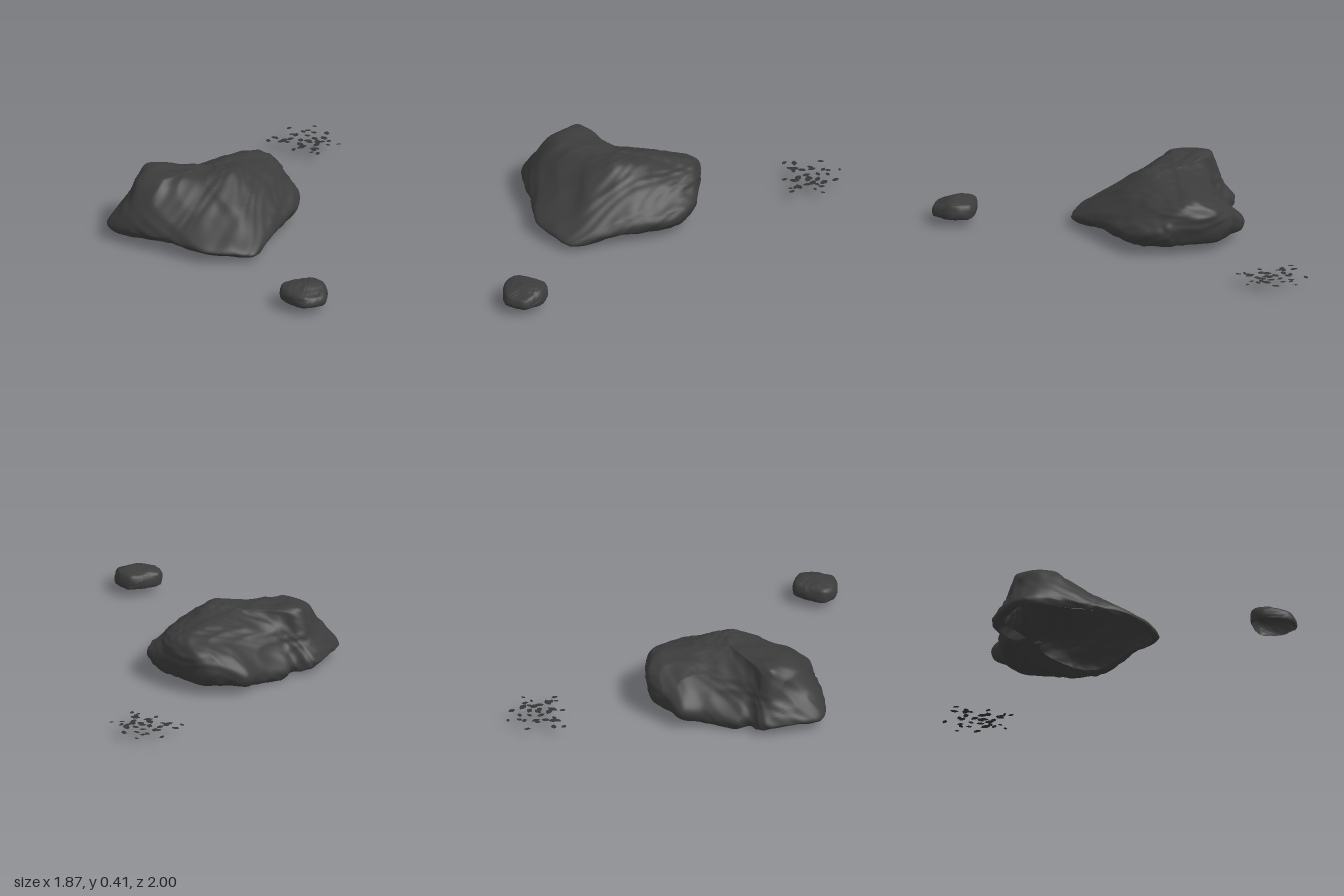
import * as THREE from 'three';
import { mergeVertices } from 'three/addons/utils/BufferGeometryUtils.js';

const stone = new THREE.MeshStandardMaterial({ color: 0x3c3c3c, roughness: 0.9, side: THREE.DoubleSide });
const leafMat = new THREE.MeshStandardMaterial({ color: 0x353535, roughness: 0.9, side: THREE.DoubleSide });
const V = (x, y, z) => new THREE.Vector3(x, y, z);

// Layered ripples and creases for a weathered surface
function weather(p, amp, f) {
  const a = Math.sin(p.x * 9 * f + 4 * p.z * f + 2 * Math.sin(p.y * 14 * f + p.z * 5 * f));
  const b = Math.sin(p.z * 13 * f - p.x * 7 * f + p.y * 21 * f + 1.5 * Math.sin(p.x * 11 * f));
  const c = 1 - 2 * Math.abs(Math.sin(p.x * 8 * f - p.z * 10 * f + p.y * 17 * f + 2 * a));
  const d = Math.sin(p.x * 37 * f + 3 * b) * Math.sin(p.z * 33 * f + p.y * 40 * f + 2 * a);
  return amp * (0.3 * a + 0.4 * b + 0.35 * c + 0.4 * d);
}

// Hollow boulder: closed loops from the lip to the crown, lofted up to one summit
function boulder(name, loops, summit, nu, nv, amp, freq) {
  const rows = loops.map((pts) => new THREE.CatmullRomCurve3(pts, true, 'centripetal'));
  const pos = [], index = [];
  for (let i = 0; i <= nu; i++) {
    const u = (i % nu) / nu;
    const profile = new THREE.CatmullRomCurve3([...rows.map((r) => r.getPoint(u)), summit], false, 'centripetal');
    for (let k = 0; k <= nv; k++) pos.push(...profile.getPoint(k / nv).toArray());
  }
  for (let i = 0; i < nu; i++) {
    for (let k = 0; k < nv; k++) {
      const a = i * (nv + 1) + k, b = a + nv + 1;
      index.push(a, a + 1, b);
      if (k < nv - 1) index.push(b, a + 1, b + 1);
    }
  }
  let geo = new THREE.BufferGeometry();
  geo.setAttribute('position', new THREE.Float32BufferAttribute(pos, 3));
  geo.setIndex(index);
  geo = mergeVertices(geo, 1e-5);
  geo.computeVertexNormals();
  // push the surface in and out along its normals
  const P = geo.attributes.position, N = geo.attributes.normal;
  const p = V(0, 0, 0), n = V(0, 0, 0);
  for (let i = 0; i < P.count; i++) {
    p.fromBufferAttribute(P, i);
    n.fromBufferAttribute(N, i);
    p.addScaledVector(n, weather(p, amp, freq));
    P.setXYZ(i, p.x, Math.max(0, p.y), p.z);
  }
  geo.computeVertexNormals();
  const mesh = new THREE.Mesh(geo, stone);
  mesh.name = name;
  return mesh;
}

function largeRock() {
  // outline x, z, foot height
  const foot = [
    [-0.58, -0.145, 0.19], [-0.3, -0.15, 0.18], [-0.2, -0.125, 0.16], [-0.08, -0.03, 0.14],
    [0, 0.15, 0.12], [0.06, 0.36, 0.1], [0.13, 0.6, 0.055], [0.07, 0.7, 0.07],
    [-0.07, 0.82, 0.08], [-0.3, 0.87, 0.1], [-0.5, 0.92, 0.1], [-0.7, 0.95, 0.09],
    [-0.8, 0.91, 0.08], [-0.86, 0.78, 0.08], [-0.905, 0.63, 0.08], [-0.895, 0.56, 0.09],
    [-0.81, 0.485, 0.08], [-0.825, 0.4, 0.06], [-0.78, 0.2, 0.1], [-0.8, 0.06, 0.12],
    [-0.72, -0.03, 0.15], [-0.66, -0.1, 0.17]];
  // shoulder x, z, height
  const top = [
    [-0.53, -0.085, 0.315], [-0.41, -0.095, 0.335], [-0.34, -0.05, 0.325], [-0.32, 0.05, 0.34],
    [-0.29, 0.2, 0.37], [-0.28, 0.35, 0.4], [-0.31, 0.45, 0.385], [-0.36, 0.51, 0.375],
    [-0.42, 0.57, 0.375], [-0.48, 0.65, 0.375], [-0.53, 0.72, 0.38], [-0.61, 0.75, 0.375],
    [-0.675, 0.73, 0.375], [-0.72, 0.67, 0.385], [-0.755, 0.61, 0.385], [-0.74, 0.55, 0.375],
    [-0.69, 0.49, 0.345], [-0.66, 0.42, 0.31], [-0.65, 0.25, 0.285], [-0.65, 0.1, 0.28],
    [-0.64, 0.02, 0.28], [-0.6, -0.05, 0.29]];
  // how far the underside curls in, and the height of its lowest edge
  const curl = [.28, .17, .12, .08, .06, .05, .04, .04, .03, .03, .03, .05, .06, .07, .1, .16, .17, .2, .28, .32, .32, .32];
  const rim = [.06, .06, .06, .06, .06, .055, .035, .04, .055, .07, .06, .05, .05, .06, .055, .045, .015, .005, .02, .05, .06, .06];
  // outward swell of the flanks
  const swell = [.03, .03, .03, .04, .04, .04, .03, 0, 0, .02, .03, .02, 0, -.01, -.03, -.04, -.02, 0, .02, .02, .03, .03];
  const c = V(-0.45, 0, 0.35);
  const outward = (x, z) => V(x, 0, z).sub(c).normalize();
  const lip = foot.map(([x, z], i) => V(x, rim[i] + curl[i] * 0.22, z).addScaledVector(outward(x, z), -curl[i]));
  const under = foot.map(([x, z, y], i) => V(x, rim[i], z).addScaledVector(outward(x, z), -0.015 - (y - rim[i]) * 0.3));
  const footLoop = foot.map(([x, z, y]) => V(x, y, z));
  const flank = foot.map(([x, z, y], i) => {
    const [tx, tz, ty] = top[i];
    return V((x + tx) / 2, (y + ty) / 2 + swell[i] * 0.6, (z + tz) / 2).addScaledVector(outward(x, z), swell[i] * 0.4);
  });
  const shoulder = top.map(([x, z, y]) => V(x, y, z));
  const crown = top.map(([x, z, y]) => V((x + c.x) / 2, y * 0.5 + 0.203, (z + c.z) / 2));
  return boulder('largeRock', [lip, under, footLoop, flank, shoulder, crown], V(-0.45, 0.395, 0.35), 220, 72, 0.008, 1);
}

function smallRock() {
  // outline x, z, foot height, shoulder height
  const foot = [
    [0.74, 0.728, 0.09, 0.145], [0.855, 0.745, 0.09, 0.15], [0.9, 0.79, 0.085, 0.14], [0.94, 0.86, 0.075, 0.12],
    [0.92, 0.92, 0.075, 0.12], [0.88, 0.98, 0.08, 0.128], [0.78, 0.998, 0.09, 0.135], [0.69, 0.98, 0.11, 0.145],
    [0.642, 0.915, 0.115, 0.147], [0.665, 0.84, 0.11, 0.148], [0.69, 0.78, 0.1, 0.146]];
  const cx = 0.79, cz = 0.87;
  const ring = (s, h) => foot.map((p) => V(cx + (p[0] - cx) * s, h(p), cz + (p[1] - cz) * s));
  return boulder('smallRock', [
    ring(0.92, () => 0.052), ring(0.97, () => 0.058), ring(1, (p) => p[2]),
    ring(0.9, (p) => p[3] - 0.01), ring(0.68, (p) => p[3] + 0.004), ring(0.35, (p) => p[3] * 0.4 + 0.1),
  ], V(cx, 0.167, cz), 90, 32, 0.003, 2.6);
}

function leafLitter() {
  const litter = new THREE.Group();
  litter.name = 'leafLitter';
  // x, z and length of each leaf, in hundredths
  const leaves = [
    [-82, -99, 3], [-70, -97, 5], [-92, -87, 4], [-81, -92, 4], [-76, -92, 4], [-66, -90, 6], [-61, -89, 4],
    [-54, -90, 3], [-58, -85, 3], [-82, -89, 4], [-82, -82, 5], [-84, -81, 4], [-76, -86, 4], [-70, -86, 5],
    [-75, -79, 5], [-81, -76, 5], [-71, -81, 5], [-69, -80, 5], [-65, -83, 6], [-63, -80, 5], [-64, -86, 4],
    [-89, -71, 5], [-89, -65, 4], [-82, -71, 6], [-82, -69, 5], [-79, -71, 4], [-71, -74, 6], [-69, -66, 4],
    [-68, -72, 6], [-60, -75, 6], [-59, -73, 4], [-54, -71, 4], [-58, -70, 3]];
  const shape = new THREE.Shape();
  shape.moveTo(-0.5, 0);
  shape.quadraticCurveTo(-0.15, 0.42, 0.2, 0.27);
  shape.lineTo(0.5, 0);
  shape.quadraticCurveTo(0.1, -0.38, -0.25, -0.24);
  const geo = new THREE.ShapeGeometry(shape, 5).rotateX(-Math.PI / 2);
  leaves.forEach(([x, z, size], i) => {
    const leaf = new THREE.Mesh(geo, leafMat);
    leaf.name = 'leaf' + (i + 1);
    leaf.position.set(x / 100, 0.07 + 0.002 * Math.sin(i * 5.3), z / 100);
    leaf.rotation.set(0.05 * Math.sin(i * 2.1), i * 2.4, 0.05 * Math.cos(i * 3.7));
    leaf.scale.setScalar(size / 100 * 1.1);
    litter.add(leaf);
  });
  return litter;
}

export function createModel() {
  const model = new THREE.Group();
  model.name = 'rocksAndLeaves';
  model.add(largeRock(), smallRock(), leafLitter());
  return model;
}
